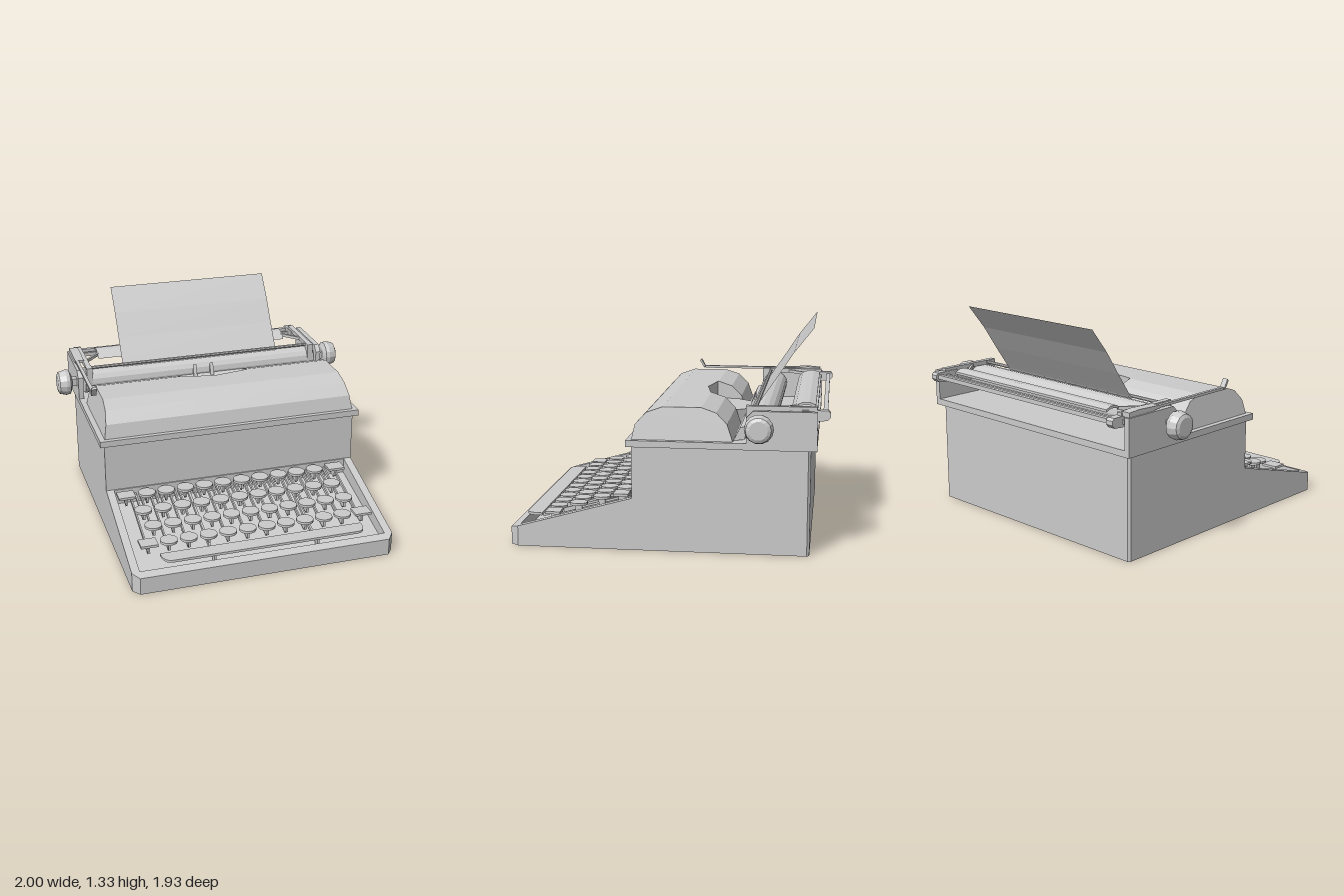
import * as THREE from 'three';

const grey = new THREE.MeshStandardMaterial({ color: 0xcccccc, flatShading: true, side: THREE.DoubleSide });

export function createModel() {
  const root = new THREE.Group();
  const add = (name, geo, parent = root) => {
    const m = new THREE.Mesh(geo, grey);
    m.name = name;
    parent.add(m);
    return m;
  };
  const group = (name) => {
    const g = new THREE.Group();
    g.name = name;
    root.add(g);
    return g;
  };
  // Box given by its limits on each axis
  const box = (x0, x1, y0, y1, z0, z1) =>
    new THREE.BoxGeometry(x1 - x0, y1 - y0, z1 - z0).translate((x0 + x1) / 2, (y0 + y1) / 2, (z0 + z1) / 2);
  const shape = (pts) => new THREE.Shape(pts.map((p) => new THREE.Vector2(...p)));
  // Side profile (z, y) pushed along x
  const alongX = (pts, x0, x1, steps = 1) =>
    new THREE.ExtrudeGeometry(shape(pts), { depth: x1 - x0, steps, bevelEnabled: false })
      .rotateY(-Math.PI / 2).translate(x1, 0, 0);
  // Plan outline (x, z) pushed upwards
  const upwards = (s, y0, y1) =>
    new THREE.ExtrudeGeometry(s, { depth: y1 - y0, bevelEnabled: false, curveSegments: 6 })
      .rotateX(Math.PI / 2).translate(0, y1, 0);
  // Cylinder lying along x
  const rod = (x0, x1, y, z, r, sides = 10) =>
    new THREE.CylinderGeometry(r, r, x1 - x0, sides).rotateZ(Math.PI / 2).translate((x0 + x1) / 2, y, z);
  // Square bar between two points
  const bar = (a, b, w, h) => {
    const p = new THREE.Vector3(...a), q = new THREE.Vector3(...b);
    const o = new THREE.Object3D();
    o.position.copy(p).add(q).multiplyScalar(0.5);
    o.lookAt(q);
    o.updateMatrix();
    return new THREE.BoxGeometry(w, h, p.distanceTo(q)).applyMatrix4(o.matrix);
  };
  const reshape = (geo, rule) => {
    const p = geo.attributes.position, v = new THREE.Vector3();
    for (let i = 0; i < p.count; i++) {
      rule(v.fromBufferAttribute(p, i));
      p.setXYZ(i, v.x, v.y, v.z);
    }
    geo.computeVertexNormals();
    return geo;
  };
  const slope = (z) => 0.11 + (0.96 - z) * 0.278;

  // Housing with small rear chamfers, and the ledge above it
  add('housing', upwards(shape([[-0.84, 0.205], [0.84, 0.205], [0.84, -0.845], [0.825, -0.86],
    [-0.825, -0.86], [-0.84, -0.845]]), 0, 0.64));
  add('ledge', box(-0.87, 0.87, 0.64, 0.68, -0.895, 0.235));

  // Sloping keyboard frame around a sunken floor
  const outline = shape([[-0.84, 0.205], [0.84, 0.205], [0.84, 0.91], [0.8, 0.96], [-0.8, 0.96], [-0.84, 0.91]]);
  outline.holes.push(shape([[-0.79, 0.21], [-0.79, 0.905], [0.79, 0.905], [0.79, 0.21]]));
  add('keyboardFrame', reshape(upwards(outline, 0, 0.3), (v) => { if (v.y > 0.1) v.y = slope(v.z); }));
  add('keyboardFloor', alongX([[0.205, 0], [0.91, 0], [0.91, 0.05], [0.205, 0.22]], -0.8, 0.8));

  // Keys: row depth, height, first round key, count, outer square keys
  const keys = group('keys');
  const rows = [
    [0.29, 0.312, -0.594, 10, [-0.73, 0.69]],
    [0.43, 0.268, -0.652, 11, []],
    [0.57, 0.23, -0.622, 11, []],
    [0.71, 0.192, -0.56, 10, [-0.69, 0.71]],
  ];
  const stem = (x, y, z) => {
    add('keyStem', box(x - 0.007, x + 0.007, y - 0.06, y, z - 0.02, z + 0.02), keys);
    add('keyLever', bar([x, slope(z) - 0.05, z], [x, slope(0.2) - 0.05, 0.2], 0.01, 0.025), keys);
  };
  for (const [z, y, first, count, squares] of rows) {
    for (let i = 0; i < count; i++) {
      const x = first + i * 0.1267;
      add('roundKey', new THREE.CylinderGeometry(0.055, 0.055, 0.016, 16).translate(x, y, z), keys);
      stem(x, y, z);
    }
    for (const x of squares) {
      add('squareKey', box(x - 0.055, x + 0.055, y - 0.008, y + 0.008, z - 0.046, z + 0.046), keys);
      stem(x, y, z);
    }
  }
  // Space bar with rounded front corners
  const space = new THREE.Shape();
  space.moveTo(-0.64, 0.8);
  space.lineTo(0.67, 0.8);
  space.quadraticCurveTo(0.67, 0.9, 0.61, 0.9);
  space.lineTo(-0.58, 0.9);
  space.quadraticCurveTo(-0.64, 0.9, -0.64, 0.8);
  add('spaceBar', upwards(space, 0.148, 0.164));
  for (const x of [-0.31, 0.36]) {
    add('spaceBarArm', box(x - 0.006, x + 0.006, 0.06, 0.15, 0.83, 0.87));
    add('spaceBarArm', bar([x, 0.1, 0.85], [x, 0.27, 0.2], 0.012, 0.025));
  }

  // Faceted hood: tapered ends and a notch over the type basket
  const hood = group('hood');
  const front = [[0.205, 0.68], [0.185, 0.77], [0.12, 0.84], [0.02, 0.875]];
  const full = [...front, [-0.21, 0.875], [-0.3, 0.845], [-0.365, 0.78], [-0.4, 0.68]];
  const taper = (v) => { if (Math.abs(v.x) > 0.5) v.x -= Math.sign(v.x) * (v.y - 0.68) * 0.17; };
  add('hoodSide', reshape(alongX(full, 0.23, 0.835), taper), hood);
  add('hoodSide', reshape(alongX(full, -0.835, -0.23), taper), hood);
  add('hoodMiddle', reshape(alongX([...front, [-0.205, 0.875], [-0.205, 0.68]], -0.23, 0.23, 2), (v) => {
    if (v.z < -0.2 && Math.abs(v.x) < 0.01) v.z = -0.165;
  }), hood);

  // Type basket and guide between hood and platen
  add('typeBasket', upwards(shape([[-0.23, -0.16], [0.23, -0.16], [0.23, -0.34], [0.115, -0.47],
    [-0.115, -0.47], [-0.23, -0.34]]), 0.68, 0.76));
  add('cardPlate', alongX([[-0.4, 0.68], [-0.47, 0.69], [-0.475, 0.77], [-0.44, 0.76]], -0.8, 0.8));
  for (const s of [-1, 1]) {
    add('ribbonGuide', alongX([[-0.44, 0.75], [-0.475, 0.75], [-0.475, 0.84]], s * 0.06 - 0.012, s * 0.06 + 0.012));
  }

  // Carriage: end plates, arms, shafts and knobs mirrored left and right
  const carriage = group('carriage');
  for (const s of [-1, 1]) {
    const side = new THREE.Group();
    side.name = s > 0 ? 'leftCarriageEnd' : 'rightCarriageEnd';
    carriage.add(side);
    const mid = (x, w, y0, y1, z0, z1) => box(s * x - w / 2, s * x + w / 2, y0, y1, z0, z1);
    add('endPlate', alongX([[-0.48, 0.68], [-0.48, 0.83], [-0.52, 0.872], [-0.895, 0.872], [-0.895, 0.68]],
      s * 0.853 - 0.017, s * 0.853 + 0.017), side);
    add('rearArm', alongX([[-0.8, 0.875], [-0.955, 0.875], [-0.968, 0.86], [-0.968, 0.835], [-0.95, 0.815],
      [-0.89, 0.81], [-0.8, 0.83]], s * 0.79 - 0.025, s * 0.79 + 0.025), side);
    add('topRail', mid(0.79, 0.035, 0.865, 0.893, -0.89, -0.54), side);
    add('bailBracket', mid(0.79, 0.04, 0.76, 0.893, -0.545, -0.475), side);
    add('strut', bar([s * 0.67, 0.875, -0.78], [s * 0.8, 0.875, -0.64], 0.015, 0.02), side);
    add('knobShaft', mid(0.88, 0.1, 0.755, 0.805, -0.585, -0.535), side);
    const knob = new THREE.LatheGeometry([[0, 0.905], [0.05, 0.905], [0.083, 0.92], [0.087, 0.945],
      [0.075, 0.99], [0.055, 1], [0, 1]].map((p) => new THREE.Vector2(...p)), 14);
    add('knob', knob.rotateZ(-s * Math.PI / 2).translate(0, 0.78, -0.56), side);
  }
  add('platen', rod(-0.82, 0.82, 0.78, -0.56, 0.085, 16), carriage);
  add('paperBail', rod(-0.79, 0.79, 0.878, -0.53, 0.011, 8), carriage);
  add('rearRail', box(-0.78, 0.78, 0.835, 0.862, -0.952, -0.925), carriage);
  add('innerRail', box(-0.83, 0.83, 0.83, 0.855, -0.89, -0.87), carriage);

  // Curved paper rest behind the platen
  add('paperRest', alongX([[-0.735, 0.855], [-0.76, 0.88], [-0.8, 0.898], [-0.84, 0.9], [-0.88, 0.885],
    [-0.88, 0.87], [-0.84, 0.885], [-0.8, 0.882], [-0.76, 0.865]], -0.68, 0.68), carriage);

  // Gently bent sheet of paper
  const paper = new THREE.PlaneGeometry(1.1, 1, 1, 4);
  const bend = [[-0.53, 0.86], [-0.56, 0.905], [-0.645, 1.03], [-0.74, 1.175], [-0.858, 1.325]];
  add('paper', reshape(paper, (v) => {
    const p = bend[Math.round((v.y + 0.5) * 4)];
    v.set(v.x, p[1], p[0]);
  }));

  // Carriage return lever with an upturned tip
  const lever = group('returnLever');
  add('leverArm', bar([-0.845, 0.888, -0.05], [-0.845, 0.888, -0.66], 0.022, 0.016), lever);
  add('leverTip', alongX([[-0.045, 0.88], [-0.03, 0.9], [-0.012, 0.935], [-0.022, 0.945], [-0.05, 0.895]],
    -0.865, -0.83), lever);
  add('leverBase', alongX([[-0.63, 0.898], [-0.8, 0.905], [-0.88, 0.9], [-0.88, 0.87], [-0.74, 0.865], [-0.63, 0.88]],
    -0.86, -0.8), lever);
  return root;
}
